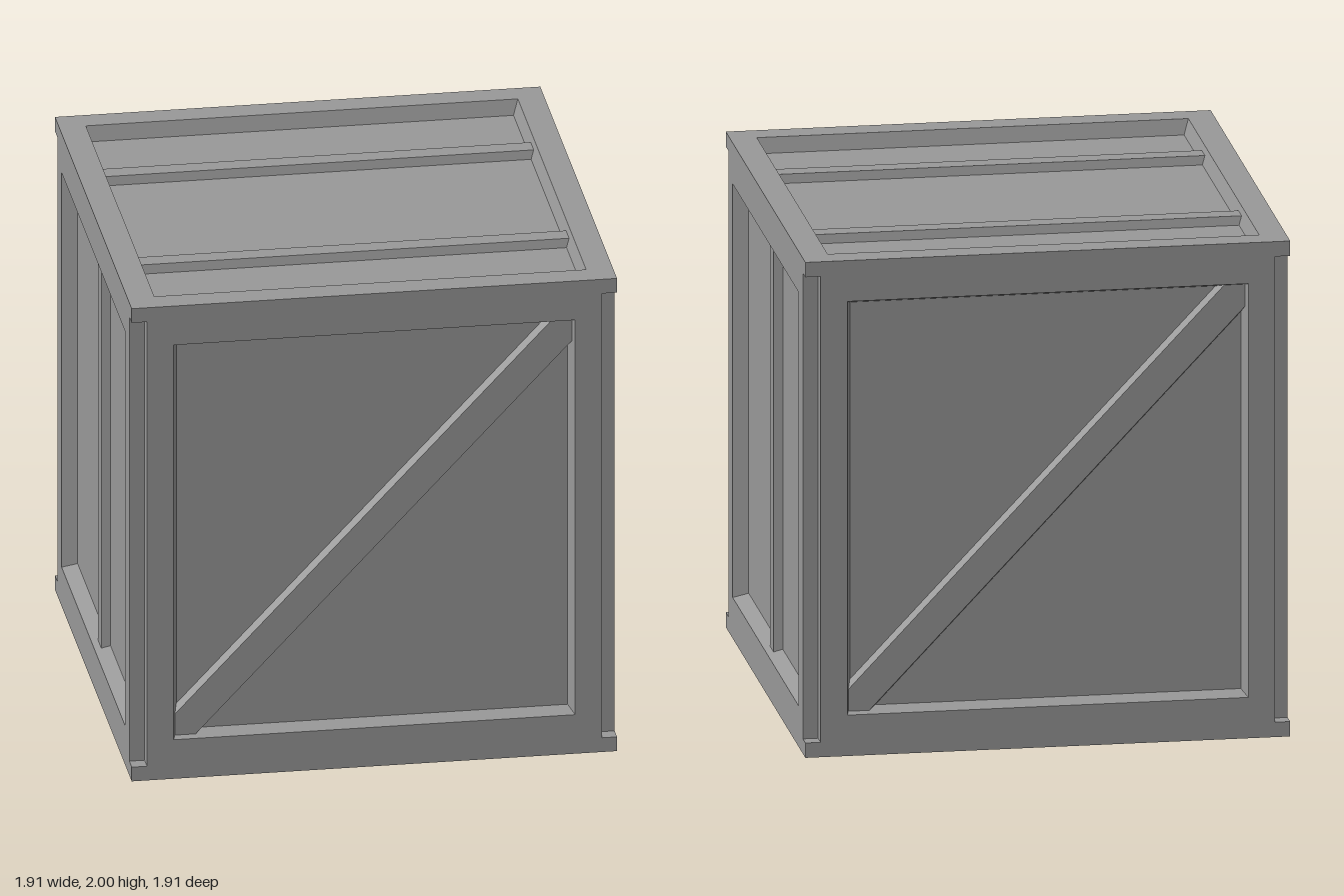
import * as THREE from 'three';

const T = 0.06;       // frame thickness, also the size of the corner grooves
const SLAT = 0.035;   // slat height above its panel
const SLOPE = 0.02;   // inward slope of the opening walls
const mat = new THREE.MeshStandardMaterial({ color: 0x999999, flatShading: true });

function part(name, geometry) {
  const mesh = new THREE.Mesh(geometry, mat);
  mesh.name = name;
  return mesh;
}

const outline = (pts) => pts.map(([x, y]) => new THREE.Vector2(x, y));
const rect = (w, h) => outline([[-w, -h], [w, -h], [w, h], [-w, h]]);

// Extrudes a shape along z and moves its base vertices by a rule
function taperedExtrude(shape, depth, moveBase) {
  const g = new THREE.ExtrudeGeometry(shape, { depth, bevelEnabled: false });
  const p = g.attributes.position;
  for (let i = 0; i < p.count; i++) {
    if (p.getZ(i) > 1e-4) continue;
    const [x, y] = moveBase(p.getX(i), p.getY(i));
    p.setXY(i, x, y);
  }
  g.computeVertexNormals();
  return g;
}

// Rectangular rim whose opening narrows toward the panel (half sizes)
function frame(w, h, ow, oh) {
  const shape = new THREE.Shape(rect(w, h));
  shape.holes.push(new THREE.Path(rect(ow, oh)));
  return taperedExtrude(shape, T, (x, y) =>
    Math.abs(x) < ow + 1e-3 && Math.abs(y) < oh + 1e-3
      ? [x - Math.sign(x) * SLOPE, y - Math.sign(y) * SLOPE] : [x, y]);
}

// Slat with sloped long sides; (nx, ny) is the direction across it
function slat(pts, nx, ny, flare, centre = 0) {
  const g = taperedExtrude(new THREE.Shape(outline(pts)), SLAT, (x, y) => {
    const s = x * nx + y * ny;
    const d = Math.abs(s) < 1e-3 ? 0 : Math.sign(s) * flare;
    return [x + nx * d, y + ny * d];
  });
  return g.translate(0, centre, 0);
}

export function createModel() {
  const crate = new THREE.Group();
  crate.name = 'crate';

  const half = 0.955, inner = half - T;
  const core = part('panels', new THREE.BoxGeometry(2 * inner, 2 - 2 * T, 2 * inner));
  core.position.y = 1;
  crate.add(core);

  // Four sides: diagonal brace on front and back, upright on left and right
  const ow = 0.79, oh = 0.835;
  const len = Math.hypot(ow, oh);
  const diagonal = [[-ow, -oh], [-ow + 0.083, -oh], [ow, oh - 0.088],
    [ow, oh], [ow - 0.083, oh], [-ow, -oh + 0.088]];
  const upright = [[-0.04, -oh], [0.04, -oh], [0.04, oh], [-0.04, oh]];
  ['front', 'left', 'back', 'right'].forEach((name, i) => {
    const side = new THREE.Group();
    side.name = name + 'Side';
    side.add(part('sideFrame', frame(inner, 1 - T, ow, oh)));
    side.add(i % 2
      ? part('uprightSlat', slat(upright, 1, 0, 0.008))
      : part('diagonalBrace', slat(diagonal, -oh / len, ow / len, 0.013)));
    const a = i * Math.PI / 2;
    side.rotation.y = a;
    side.position.set(Math.sin(a) * inner, 1, Math.cos(a) * inner);
    crate.add(side);
  });

  // Lid and base: overhanging rims with two cross slats each
  const o = 0.85;
  const cross = [[-o, -0.038], [o, -0.038], [o, 0.038], [-o, 0.038]];
  for (const dir of [1, -1]) {
    const cap = new THREE.Group();
    cap.name = dir > 0 ? 'lid' : 'base';
    cap.add(part('capFrame', frame(half, half, o, o)));
    for (const y of [-0.44, 0.44]) cap.add(part('crossSlat', slat(cross, 0, 1, 0.01, y)));
    cap.rotation.x = -dir * Math.PI / 2;
    cap.position.y = 1 + dir * (1 - T);
    crate.add(cap);
  }
  return crate;
}
